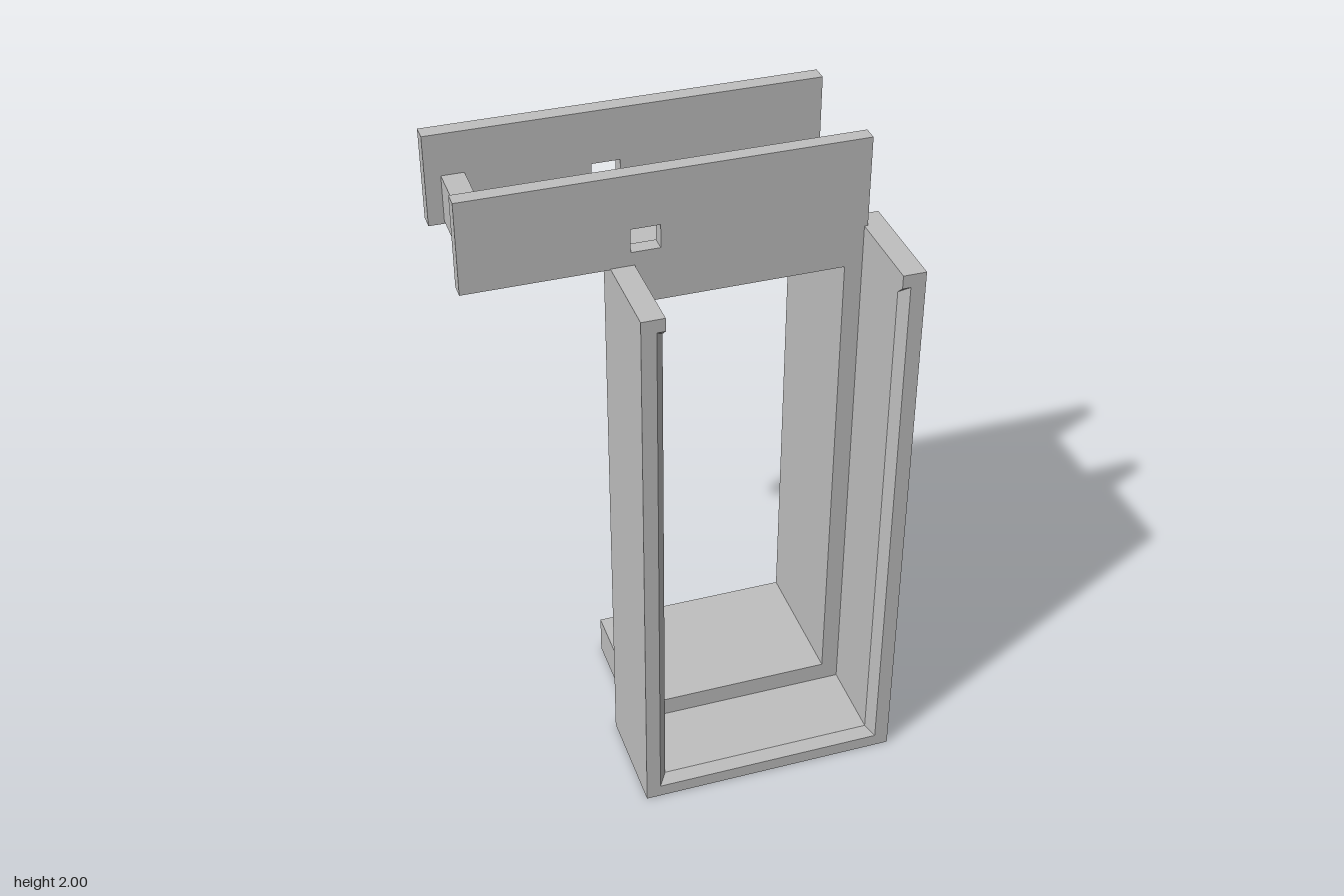
import * as THREE from 'three';

export function createModel() {
  const grey = new THREE.MeshStandardMaterial({ color: 0xbfbfbf });
  grey.name = 'light grey';

  const model = new THREE.Group();
  model.name = 'doorFrameHousing';
  model.rotation.y = THREE.MathUtils.degToRad(-25); // whole body stands at an angle

  const TOP = 1.73;
  const MID = 0.1725; // mirror plane of the front frame
  const flip = (x) => 2 * MID - x;

  function add(name, geometry) {
    const mesh = new THREE.Mesh(geometry, grey);
    mesh.name = name;
    model.add(mesh);
    return mesh;
  }

  // Box given by its limits on each axis
  function block(name, x0, x1, y0, y1, z0, z1) {
    const g = new THREE.BoxGeometry(x1 - x0, y1 - y0, z1 - z0);
    g.translate((x0 + x1) / 2, (y0 + y1) / 2, (z0 + z1) / 2);
    return add(name, g);
  }

  const outline = (pts) => pts.map(([a, b]) => new THREE.Vector2(a, b));
  const rect = (a0, a1, b0, b1) => [[a0, b0], [a1, b0], [a1, b1], [a0, b1]];

  function extrude(pts, depth, hole) {
    const shape = new THREE.Shape(outline(pts));
    if (hole) shape.holes.push(new THREE.Path(outline(hole)));
    return new THREE.ExtrudeGeometry(shape, { depth, bevelEnabled: false });
  }

  // Upright plate in x/y, extruded along z
  function plate(name, pts, z0, z1, hole) {
    return add(name, extrude(pts, z1 - z0, hole).translate(0, 0, z0));
  }

  // Plan outline in x/z, extruded upward
  function column(name, pts, y0, y1, hole) {
    const neg = (list) => list && list.map(([x, z]) => [x, -z]);
    const g = extrude(neg(pts), y1 - y0, neg(hole));
    return add(name, g.rotateX(-Math.PI / 2).translate(0, y0, 0));
  }

  // Side profile in z/y, extruded along x
  function rail(name, pts, x0, x1) {
    const g = extrude(pts.map(([z, y]) => [-z, y]), x1 - x0);
    return add(name, g.rotateY(Math.PI / 2).translate(x0, 0, 0));
  }

  // Front frame: side walls with a chamfered front edge
  const OUT = -0.222, IN = -0.155, CH = -0.179;
  const B = 0.02, C = 0.327, F = 0.355;
  for (const side of ['right', 'left']) {
    const m = side === 'right' ? (x) => x : flip;
    const lo = Math.min(m(OUT), m(IN)), hi = Math.max(m(OUT), m(IN));
    block(side + 'FrameWall', lo, hi, 0, TOP, B, C);
    column(side + 'FrameEdge', [[OUT, C], [IN, C], [CH, F], [OUT, F]].map(([x, z]) => [m(x), z]), 0, TOP);
    rail(side + 'FrameCorner', [[C, 1.665], [F, 1.69], [F, TOP], [C, TOP]], lo, hi);
  }
  // Sill and floor of the front frame
  block('frameFloor', IN, flip(IN), 0, 0.065, B, C);
  rail('frameSill', [[C, 0], [F, 0], [F, 0.04], [C, 0.065]], OUT, flip(OUT));
  // Inner panel with the tall opening
  plate('innerPanel', rect(IN, flip(IN), 0, TOP), B, 0.084, rect(-0.103, 0.448, 0.125, 1.61));

  // Rear body: floor, one side wall and a slotted top, open at the back and right
  const R0 = -0.165, R1 = 0.51, BACK = -0.34;
  block('rearFloor', R0, R1, 0, 0.125, BACK, B);
  block('rearWall', 0.448, R1, 0.125, 1.61, BACK, B);
  column('rearTop', rect(R0, R1, BACK, B), 1.61, TOP, rect(0.22, 0.351, -0.263, 0.018));

  // Two long planks with small square holes, joined by a crossbar
  const plank = rect(-0.63, 0.51, 1.727, 2);
  const peg = rect(-0.165, -0.082, 1.77, 1.84);
  plate('backPlank', plank, -0.335, -0.287, peg);
  plate('frontPlank', plank, 0.04, 0.084, peg);
  block('crossbar', -0.585, -0.52, 1.735, 1.875, -0.287, 0.04);

  const root = new THREE.Group();
  root.name = 'model';
  root.add(model);
  return root;
}
